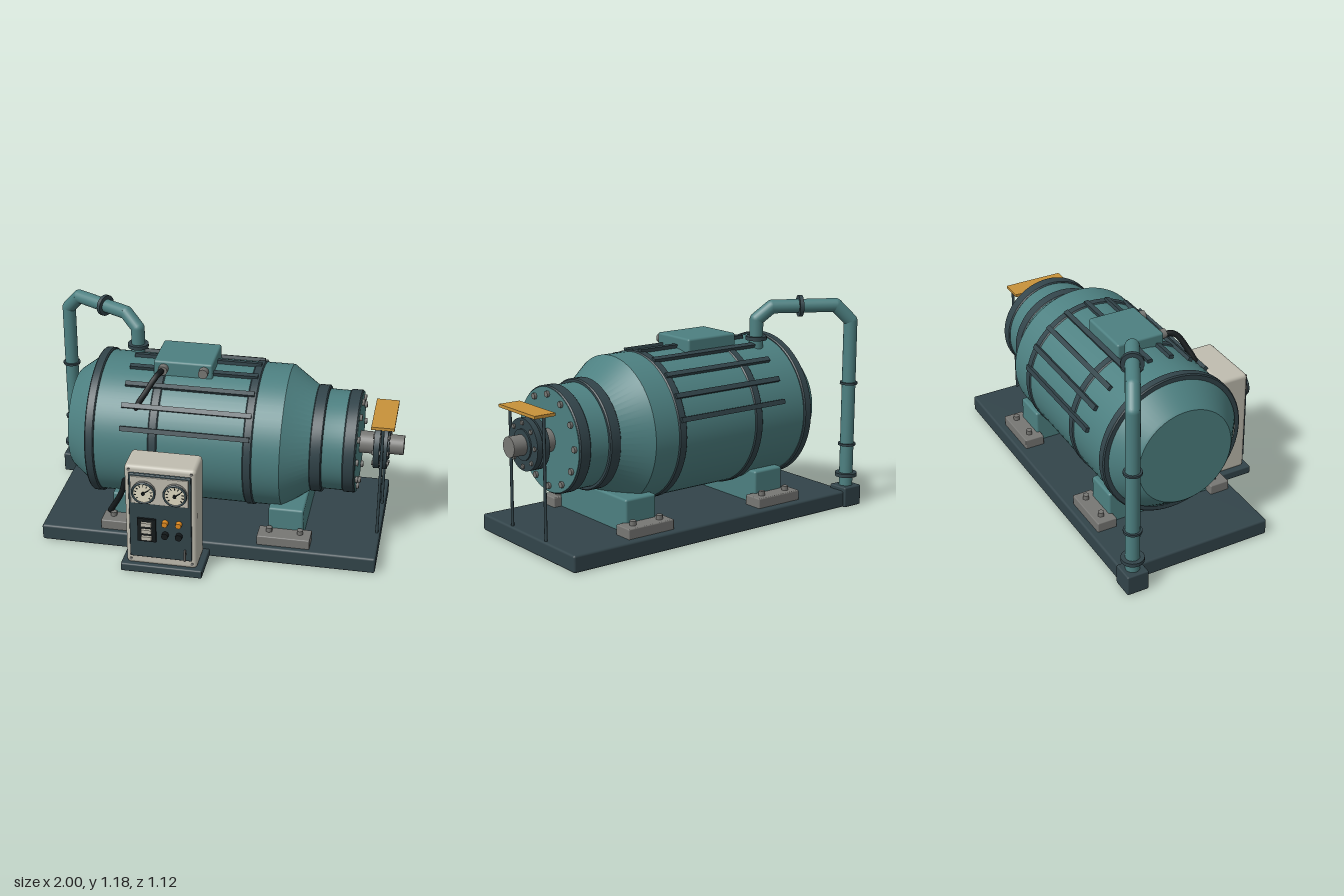
import * as THREE from 'three';
import { toCreasedNormals } from 'three/addons/utils/BufferGeometryUtils.js';
import { RoundedBoxGeometry } from 'three/addons/geometries/RoundedBoxGeometry.js';

const mat = (color) => new THREE.MeshStandardMaterial({ color });
const teal = mat(0x4d8081), dark = mat(0x32444a), grey = mat(0x777774);
const beige = mat(0xc0bdb0), orange = mat(0xc8923a), black = mat(0x14191b);
const cream = mat(0xe0dac2), lampOrange = mat(0xe08a20);
const AY = 0.555, AZ = -0.115; // machine axis

export function createModel() {
  const root = new THREE.Group();
  root.name = 'motorSkid';

  const add = (name, geo, m, x = 0, y = 0, z = 0, parent = root) => {
    const o = new THREE.Mesh(geo, m);
    o.name = name;
    o.position.set(x, y, z);
    parent.add(o);
    return o;
  };
  // box given by its limits, rounded when r > 0
  const box = (name, m, x0, x1, y0, y1, z0, z1, r = 0) => {
    const s = [x1 - x0, y1 - y0, z1 - z0];
    return add(name, r ? new RoundedBoxGeometry(...s, 2, r) : new THREE.BoxGeometry(...s),
      m, (x0 + x1) / 2, (y0 + y1) / 2, (z0 + z1) / 2);
  };
  // cylinder between two points
  const rod = (name, m, a, b, r, sides = 24, r2 = r) => {
    const va = new THREE.Vector3(...a), vb = new THREE.Vector3(...b);
    const d = vb.clone().sub(va);
    const o = add(name, new THREE.CylinderGeometry(r2, r, d.length(), sides), m);
    o.position.copy(va).add(vb).multiplyScalar(0.5);
    o.quaternion.setFromUnitVectors(new THREE.Vector3(0, 1, 0), d.normalize());
    return o;
  };
  // disc on the machine axis
  const disc = (name, m, x0, x1, r, sides = 48) => rod(name, m, [x0, AY, AZ], [x1, AY, AZ], r, sides);
  // turned part on the machine axis, profile as [radius, x]
  const turned = (name, m, pts) => {
    const g = new THREE.LatheGeometry(pts.map((p) => new THREE.Vector2(...p)), 64);
    const o = add(name, toCreasedNormals(g, 0.4), m, 0, AY, AZ);
    o.rotation.z = -Math.PI / 2;
    return o;
  };
  // hexagon bolts in a circle, pointing along x
  const boltCircle = (name, n, radius, x0, x1, r) => {
    for (let i = 0; i < n; i++) {
      const a = (i / n) * Math.PI * 2;
      const y = AY + radius * Math.cos(a), z = AZ + radius * Math.sin(a);
      rod(name, grey, [x0, y, z], [x1, y, z], r, 6);
    }
  };

  // base
  box('basePlate', dark, -0.91, 0.91, 0, 0.09, -0.545, 0.31, 0.012);
  box('pipeFootBlock', dark, -1, -0.88, 0, 0.112, -0.56, -0.44, 0.008);

  // saddles with bolted pads
  for (const x of [-0.4425, 0.4125]) {
    box('saddle', teal, x - 0.095, x + 0.095, 0.08, 0.265, -0.415, 0.185, 0.012);
    for (const z of [-0.45, 0.225]) {
      box('footPad', grey, x - 0.142, x + 0.142, 0.08, 0.143, z - 0.055, z + 0.055, 0.006);
      for (const s of [-1, 1])
        rod('footBolt', grey, [x + s * 0.083, 0.14, z - 0.007], [x + s * 0.083, 0.167, z - 0.007], 0.018, 6);
    }
  }

  // housing and its bands
  turned('housing', teal, [[0, -0.785], [0.265, -0.785], [0.276, -0.775], [0.385, -0.63], [0.385, 0.38],
    [0.283, 0.525], [0.27, 0.585], [0.27, 0.765], [0, 0.765]]);
  const band = (name, x0, x1, r) => turned(name, dark, [[r - 0.03, x0], [r - 0.006, x0], [r, x0 + 0.006],
    [r, x1 - 0.006], [r - 0.006, x1], [r - 0.03, x1]]);
  band('rearBand', -0.66, -0.61, 0.396);
  band('middleBand', -0.32, -0.27, 0.391);
  band('frontBand', 0.185, 0.235, 0.391);
  band('neckBand', 0.522, 0.588, 0.289);
  band('endFlange', 0.695, 0.762, 0.277);
  boltCircle('flangeBolt', 12, 0.237, 0.755, 0.779, 0.017);

  // cooling ribs over the top
  for (let i = 0; i < 9; i++) {
    const a = THREE.MathUtils.degToRad(-76 + 18 * i);
    const rib = add('rib', new THREE.BoxGeometry(0.69, 0.035, 0.026), dark, -0.125,
      AY + 0.386 * Math.cos(a), AZ + 0.386 * Math.sin(a));
    rib.rotation.x = a;
  }

  // shaft and coupling
  disc('shaftCollar', grey, 0.76, 0.85, 0.06, 32);
  disc('shaft', grey, 0.76, 1, 0.053, 32);
  disc('couplingHub', dark, 0.84, 0.925, 0.08);
  disc('couplingDisc', dark, 0.845, 0.876, 0.135);
  disc('couplingDisc', dark, 0.886, 0.917, 0.135);
  boltCircle('couplingBolt', 8, 0.112, 0.836, 0.926, 0.012);

  // coupling guard
  box('guardPlate', orange, 0.83, 0.952, 0.72, 0.736, -0.28, 0.05);
  for (const z of [-0.27, 0.042]) rod('guardPost', dark, [0.892, 0.08, z], [0.892, 0.722, z], 0.008, 12);

  // terminal box, glands and cable
  box('terminalBox', teal, -0.335, -0.018, 0.9, 0.998, -0.252, 0.015, 0.012);
  for (const x of [-0.28, -0.063]) rod('cableGland', grey, [x, 0.958, 0.01], [x, 0.958, 0.052], 0.026, 12);
  const cablePath = new THREE.CatmullRomCurve3([[-0.28, 0.958, 0.03], [-0.3, 0.95, 0.1], [-0.345, 0.88, 0.145],
    [-0.39, 0.8, 0.175], [-0.42, 0.6, 0.2], [-0.455, 0.38, 0.222], [-0.48, 0.29, 0.222], [-0.55, 0.16, 0.203]]
    .map((p) => new THREE.Vector3(...p)));
  add('cable', new THREE.TubeGeometry(cablePath, 60, 0.016, 10), black);

  // pipe of straight runs with ball joints
  const run = [[-0.94, 0.105, -0.5], [-0.94, 1.035, -0.5], [-0.865, 1.122, -0.459],
    [-0.555, 1.122, -0.291], [-0.482, 1.055, -0.251], [-0.482, 0.89, -0.251]];
  for (let i = 0; i < run.length - 1; i++) {
    rod('pipeRun', teal, run[i], run[i + 1], 0.037);
    if (i) add('pipeJoint', new THREE.SphereGeometry(0.037, 24, 12), teal, ...run[i]);
  }
  for (const [y, r, h] of [[0.173, 0.06, 0.02], [0.345, 0.048, 0.012], [0.69, 0.048, 0.012]])
    rod('pipeCollar', dark, [-0.94, y - h / 2, -0.5], [-0.94, y + h / 2, -0.5], r);
  rod('pipeFlange', dark, [-0.7, 1.122, -0.3696], [-0.682, 1.122, -0.3598], 0.058);
  rod('pipeInletFlange', dark, [-0.482, 0.945, -0.251], [-0.482, 0.965, -0.251], 0.057);

  // control cabinet
  box('cabinetFoot', dark, -0.415, 0.022, 0, 0.047, 0.29, 0.53, 0.008);
  box('cabinet', beige, -0.387, -0.008, 0.04, 0.635, 0.323, 0.505, 0.022);
  box('controlPanel', dark, -0.362, -0.033, 0.095, 0.597, 0.49, 0.519, 0.005);
  box('gaugePlate', beige, -0.35, -0.045, 0.425, 0.585, 0.51, 0.525, 0.004);
  for (const x of [-0.362, -0.033])
    for (const y of [0.07, 0.612]) rod('panelScrew', grey, [x, y, 0.5], [x, y, 0.509], 0.008, 8);

  // gauges with ticks and needle
  for (const x of [-0.277, -0.112]) {
    const gauge = new THREE.Group();
    gauge.name = 'gauge';
    gauge.position.set(x, 0.502, 0.52);
    root.add(gauge);
    const body = add('gaugeBody', new THREE.CylinderGeometry(0.06, 0.062, 0.026, 32), grey, 0, 0, 0.013, gauge);
    body.rotation.x = Math.PI / 2;
    add('gaugeRim', new THREE.TorusGeometry(0.058, 0.006, 8, 32), dark, 0, 0, 0.026, gauge);
    add('gaugeFace', new THREE.CircleGeometry(0.054, 32), cream, 0, 0, 0.0275, gauge);
    for (let i = 0; i < 11; i++) {
      const a = THREE.MathUtils.degToRad(-130 + 26 * i);
      const tick = add('gaugeTick', new THREE.BoxGeometry(0.004, 0.012, 0.003), black,
        -0.043 * Math.sin(a), 0.043 * Math.cos(a), 0.028, gauge);
      tick.rotation.z = a;
    }
    const needle = add('needle', new THREE.BoxGeometry(0.005, 0.042, 0.003), black, 0.012, 0.008, 0.031, gauge);
    needle.rotation.z = -0.95;
    const hub = add('needleHub', new THREE.CylinderGeometry(0.009, 0.009, 0.012, 12), black, 0, 0, 0.031, gauge);
    hub.rotation.x = Math.PI / 2;
  }

  // switches, lamps, knobs and handle
  box('switchBlock', black, -0.317, -0.219, 0.2, 0.338, 0.51, 0.53);
  for (const y of [0.308, 0.267, 0.226]) box('rockerSwitch', beige, -0.295, -0.241, y - 0.011, y + 0.011, 0.52, 0.545);
  for (const x of [-0.17, -0.097]) {
    rod('lamp', lampOrange, [x, 0.32, 0.51], [x, 0.32, 0.544], 0.018, 16, 0.015);
    rod('knob', black, [x, 0.248, 0.51], [x, 0.248, 0.544], 0.018, 16);
  }
  box('doorHandle', grey, -0.069, -0.058, 0.113, 0.175, 0.53, 0.555, 0.004);
  box('handleStem', grey, -0.067, -0.06, 0.138, 0.15, 0.51, 0.535);

  return root;
}
